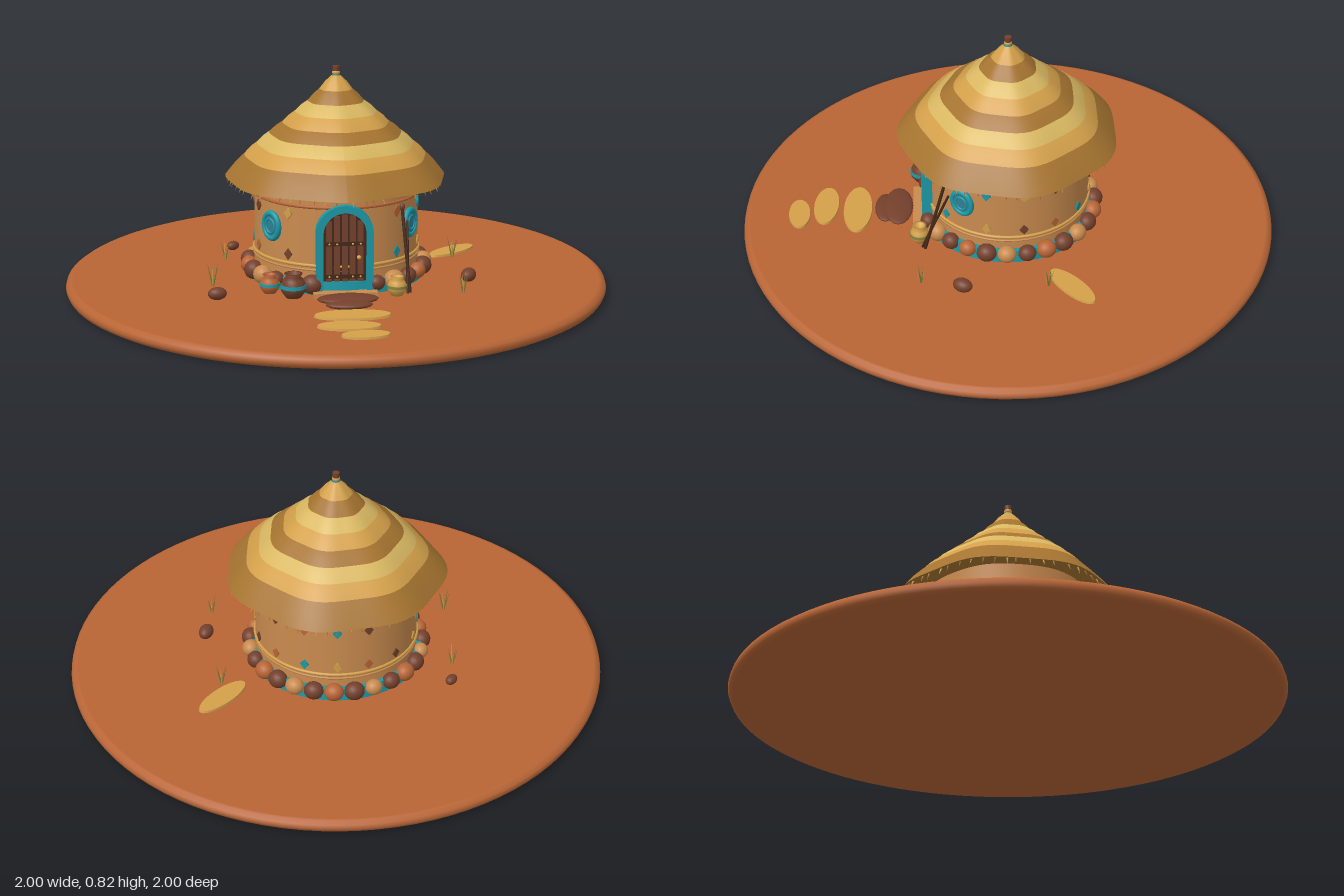
import * as THREE from 'three';

const mat = (name, hex, side = THREE.FrontSide) => {
  const m = new THREE.MeshStandardMaterial({ color: hex, side });
  m.name = name;
  return m;
};

export function createModel() {
  const M = {
    earth: mat('red earth', 0xb86535),
    clay: mat('tan clay', 0xc88a4e),
    brown: mat('brown stone', 0x74402c),
    dark: mat('dark wood', 0x452718),
    teal: mat('teal paint', 0x1b98a6),
    strawDark: mat('dark thatch', 0xa67430, THREE.DoubleSide),
    strawMid: mat('golden thatch', 0xd3a04a),
    strawLight: mat('pale thatch', 0xd9b862),
    glass: mat('deep teal', 0x2f7f92),
    grass: mat('dry grass', 0x85803c),
  };
  const root = new THREE.Group();
  root.name = 'roundHut';

  let seed = 7;
  const rnd = () => (seed = (seed * 16807) % 2147483647) / 2147483647;
  const add = (name, geo, m, x = 0, y = 0, z = 0, parent = root) => {
    const mesh = new THREE.Mesh(geo, m);
    mesh.name = name;
    mesh.position.set(x, y, z);
    parent.add(mesh);
    return mesh;
  };
  const lathe = (pts, n = 64) => new THREE.LatheGeometry(pts.map(p => new THREE.Vector2(p[0], p[1])), n);
  // Group on the wall at an angle from the front, with +z facing outwards
  const onWall = (name, deg, r, y) => {
    const g = new THREE.Group(), a = THREE.MathUtils.degToRad(deg);
    g.name = name;
    g.position.set(r * Math.sin(a), y, r * Math.cos(a));
    g.rotation.y = a;
    root.add(g);
    return g;
  };
  const ring = (name, r, t, y, m) => { add(name, new THREE.TorusGeometry(r, t, 8, 64), m, 0, y).rotation.x = Math.PI / 2; };
  const ball = new THREE.SphereGeometry(1, 16, 12);
  const blob = (name, m, x, y, z, sx, sy, sz, ry = 0, parent = root) => {
    const b = add(name, ball, m, x, y, z, parent);
    b.scale.set(sx, sy, sz);
    b.rotation.y = ry;
    return b;
  };

  // Ground disc with a rounded rim
  add('ground', lathe([[0, 0], [0.98, 0], [0.994, 0.008], [1, 0.022], [0.996, 0.036], [0.982, 0.046], [0.975, 0.047], [0.975, 0.047], [0, 0.047]], 96), M.earth);

  // Wall with base band and trim rings
  add('wall', new THREE.CylinderGeometry(0.3, 0.305, 0.4, 64), M.clay, 0, 0.245);
  add('baseBand', new THREE.CylinderGeometry(0.322, 0.326, 0.05, 64), M.teal, 0, 0.071);
  ring('lowerRing', 0.305, 0.006, 0.148, M.strawMid);
  ring('lowerRingThin', 0.305, 0.004, 0.132, M.clay);
  ring('upperRing', 0.302, 0.006, 0.362, M.earth);

  // Foundation stones, leaving the doorway free
  const stoneColours = [M.brown, M.clay, M.brown, M.earth];
  for (let i = 0; i < 25; i++) {
    const deg = 21 + i * 318 / 24, s = 0.028 + rnd() * 0.008;
    const g = onWall('foundationStone', deg, 0.325, 0.085);
    blob('stone', stoneColours[i % 4], 0, 0, 0, s * 1.1, s, s, 0, g);
  }

  // Painted diamonds in two rows
  const diamond = new THREE.CylinderGeometry(0.021, 0.021, 0.008, 4).rotateX(Math.PI / 2).scale(0.8, 1, 1);
  const paint = [M.earth, M.teal, M.strawMid, M.brown];
  [40, 73, 99, 122, 146, 169].forEach((d, i) => [1, -1].forEach(s => [0.33, 0.18].forEach((y, row) => {
    add('diamond', diamond, paint[(i + row + (s < 0 ? 2 : 0)) % 4], 0, 0, 0, onWall('wallDiamond', d * s, 0.304, y));
  })));

  // Round windows
  [55, -55].forEach(d => {
    const g = onWall('window', d, 0.303, 0.272);
    g.scale.x = 0.88;
    add('windowRim', new THREE.TorusGeometry(0.046, 0.011, 10, 32), M.teal, 0, 0, 0.004, g);
    add('windowPane', new THREE.CylinderGeometry(0.044, 0.044, 0.02, 32).rotateX(Math.PI / 2), M.glass, 0, 0, 0, g);
    add('innerRim', new THREE.TorusGeometry(0.026, 0.004, 8, 24), M.teal, 0, 0, 0.01, g);
  });

  // Arched door
  const arch = (C, w, h) => {
    const s = new C();
    s.moveTo(-w, 0);
    s.lineTo(w, 0);
    s.lineTo(w, h - w);
    s.absarc(0, h - w, w, 0, Math.PI, false);
    s.lineTo(-w, 0);
    return s;
  };
  const extrude = (s, depth) => new THREE.ExtrudeGeometry(s, { depth, bevelEnabled: false, curveSegments: 20 });
  const frame = arch(THREE.Shape, 0.102, 0.318);
  frame.holes.push(arch(THREE.Path, 0.077, 0.291));
  add('doorFrame', extrude(frame, 0.06), M.teal, 0, 0.057, 0.265);
  add('door', extrude(arch(THREE.Shape, 0.079, 0.292), 0.04), M.dark, 0, 0.057, 0.268);
  [-0.056, -0.028, 0, 0.028, 0.056].forEach(x => {
    const h = 0.205 + Math.sqrt(0.077 ** 2 - x * x);
    add('doorPlank', new THREE.BoxGeometry(0.021, h, 0.008), M.brown, x, 0.059 + h / 2, 0.311);
  });
  [0.115, 0.235].forEach(y => {
    add('doorBrace', new THREE.BoxGeometry(0.148, 0.014, 0.008), M.dark, 0, y, 0.316);
    [-0.056, -0.028, 0.028, 0.056].forEach(x => blob('doorStud', M.strawMid, x, y, 0.321, 0.004, 0.004, 0.003));
  });
  blob('doorKnob', M.strawMid, 0.05, 0.185, 0.321, 0.008, 0.008, 0.008);

  // Doorsteps and path slabs
  add('threshold', new THREE.BoxGeometry(0.23, 0.018, 0.05), M.clay, 0, 0.056, 0.335);
  blob('upperStep', M.brown, 0, 0.062, 0.415, 0.11, 0.015, 0.055);
  blob('lowerStep', M.brown, 0, 0.056, 0.465, 0.083, 0.014, 0.04);
  const slab = new THREE.CylinderGeometry(0.97, 1, 0.01, 40);
  [[0, 0.57, 0.135, 0.055, -0.02], [-0.025, 0.69, 0.11, 0.048, -0.06], [0.02, 0.79, 0.084, 0.041, 0.05], [0.47, -0.215, 0.118, 0.043, 0.66]]
    .forEach(([x, z, sx, sz, ry]) => {
      const s = add('pathSlab', slab, M.strawMid, x, 0.05, z);
      s.scale.set(sx, 1, sz);
      s.rotation.y = ry;
    });

  // Thatched roof: stepped, slightly lobed tiers
  const lobe = a => 1 + 0.022 * Math.cos(7 * a);
  const lobed = geo => {
    const p = geo.attributes.position;
    for (let i = 0; i < p.count; i++) {
      const k = lobe(Math.atan2(p.getX(i), p.getZ(i)));
      p.setX(i, p.getX(i) * k);
      p.setZ(i, p.getZ(i) * k);
    }
    geo.computeVertexNormals();
    return geo;
  };
  const profile = [[0.4, 0.412], [0.328, 0.492], [0.285, 0.532], [0.242, 0.571], [0.193, 0.61], [0.148, 0.651], [0.1, 0.692], [0.056, 0.738], [0.016, 0.785]];
  const thatch = [M.strawDark, M.strawMid, M.strawLight];
  for (let i = 0; i < 8; i++) {
    const [r0, y0] = profile[i], [r1, y1] = profile[i + 1];
    const rm = (r0 + r1) / 2 + 0.004, ym = (y0 + y1) / 2 + 0.002;
    const lip = i ? r0 + 0.005 : r0 + 0.003;
    add('roofTier', lobed(lathe([[lip, y0 - 0.003], [rm, ym], [r1, y1 + 0.002]], 84)), thatch[i % 3]);
    add('roofTierUnderside', lobed(lathe([[i ? r0 - 0.012 : 0.29, i ? y0 : 0.435], [lip, y0 - 0.003]], 84)), thatch[i % 3]);
  }

  // Straw fringe and loose tips along the eaves
  const straw = new THREE.ConeGeometry(0.0045, 0.034, 5).rotateX(Math.PI);
  for (let i = 0; i < 56; i++) {
    const deg = i * 360 / 56 + rnd() * 4, k = lobe(THREE.MathUtils.degToRad(deg));
    const s = add('straw', straw, i % 3 ? M.strawDark : M.strawMid, 0, 0, 0, onWall('eaveStraw', deg, 0.392 * k, 0.405 - rnd() * 0.006));
    s.rotation.x = -0.3 - rnd() * 0.2;
    if (i % 4 === 0) blob('strawTip', M.dark, 0, 0.035, -0.015, 0.004, 0.004, 0.007, 0, onWall('eaveTip', deg, 0.382 * k, 0.403));
  }

  // Finial
  add('finialCollar', new THREE.CylinderGeometry(0.013, 0.02, 0.022, 20), M.teal, 0, 0.78);
  blob('finialBead', M.strawMid, 0, 0.797, 0, 0.015, 0.012, 0.015);
  add('finialCap', new THREE.CylinderGeometry(0.013, 0.013, 0.018, 20), M.brown, 0, 0.812);

  // Pots beside the door
  const pot = (x, z, s, body, band) => {
    const g = new THREE.Group();
    g.name = 'pot';
    g.position.set(x, 0.047, z);
    g.scale.setScalar(s);
    root.add(g);
    add('potBody', lathe([[0, 0], [0.6, 0], [0.95, 0.5], [1, 0.9], [0.8, 1.4], [0.55, 1.65], [0.72, 1.9], [0.5, 1.9], [0.42, 1.6], [0, 1.5]], 24), body, 0, 0, 0, g);
    add('potBand', new THREE.CylinderGeometry(1.01, 1.03, 0.28, 24), band, 0, 0.9, 0, g);
  };
  pot(0.185, 0.335, 0.036, M.strawMid, M.grass);
  pot(-0.185, 0.325, 0.046, M.brown, M.teal);
  pot(-0.265, 0.262, 0.036, M.earth, M.teal);

  // Walking staff and spear leaning on the wall
  const pole = (name, a, b, r) => {
    const p = new THREE.Vector3(...a), q = new THREE.Vector3(...b), dir = q.clone().sub(p);
    const m = add(name, new THREE.CylinderGeometry(r, r, dir.length(), 8), M.dark, ...p.clone().add(q).multiplyScalar(0.5).toArray());
    m.quaternion.setFromUnitVectors(new THREE.Vector3(0, 1, 0), dir.normalize());
  };
  pole('staff', [0.235, 0.047, 0.315], [0.215, 0.34, 0.235], 0.006);
  pole('stick', [0.225, 0.047, 0.325], [0.235, 0.29, 0.225], 0.005);
  blob('staffHead', M.brown, 0.215, 0.345, 0.235, 0.01, 0.014, 0.01);

  // Loose rocks and dry grass
  [[-0.37, -0.31, 0.024, 0.7], [-0.455, 0.325, 0.031, 0.1], [0.47, 0.18, 0.034, 1.1]]
    .forEach(([x, z, s, ry]) => blob('rock', M.brown, x, 0.068, z, s * 1.1, s * 0.75, s * 0.8, ry));
  const blade = new THREE.ConeGeometry(0.004, 0.085, 5).translate(0, 0.0425, 0);
  [[-0.405, -0.19], [-0.465, 0.165], [0.46, -0.13], [0.425, 0.33]].forEach(([x, z]) => {
    for (let i = 0; i < 6; i++) {
      const b = add('grassBlade', blade, i % 3 ? M.grass : M.strawMid, x, 0.045, z);
      b.rotation.set(0.25, i * Math.PI / 3, 0, 'YXZ');
      b.scale.y = 0.75 + rnd() * 0.35;
    }
  });

  return root;
}
